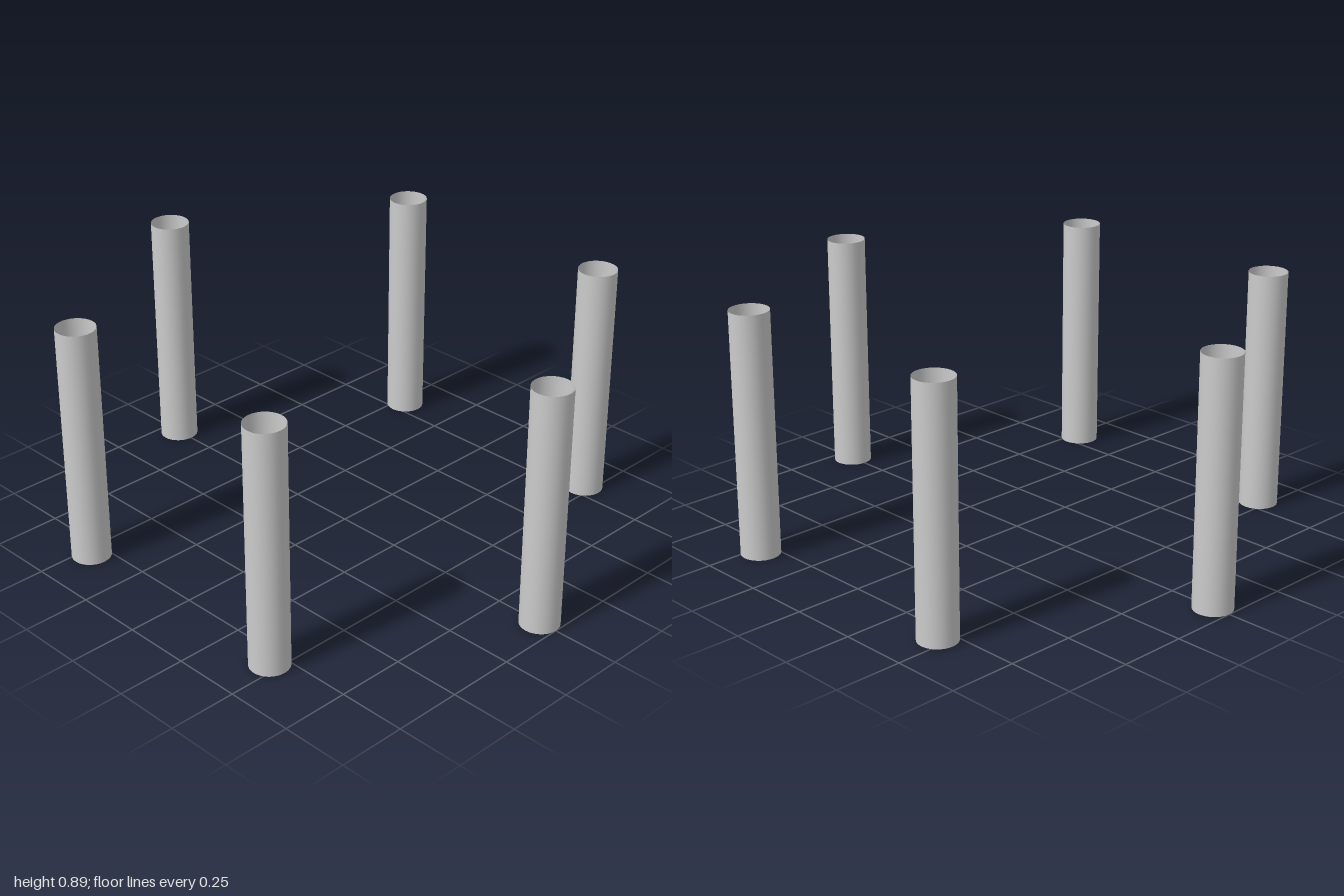
import * as THREE from 'three';

export function createModel() {
  const group = new THREE.Group();
  group.name = 'tubeRing';
  const count = 6, ringRadius = 0.929, tubeRadius = 0.071, height = 0.895;

  // Open, thin-walled tube shared by every post
  const geometry = new THREE.CylinderGeometry(tubeRadius, tubeRadius, height, 32, 1, true);
  geometry.translate(0, height / 2, 0);
  const material = new THREE.MeshStandardMaterial({ color: 0xcccccc, side: THREE.DoubleSide });

  // Six upright tubes evenly spaced on a circle, the first at the front
  for (let i = 0; i < count; i++) {
    const angle = (i / count) * Math.PI * 2;
    const tube = new THREE.Mesh(geometry, material);
    tube.name = `tube${i + 1}`;
    tube.position.set(Math.sin(angle) * ringRadius, 0, Math.cos(angle) * ringRadius);
    group.add(tube);
  }
  return group;
}
